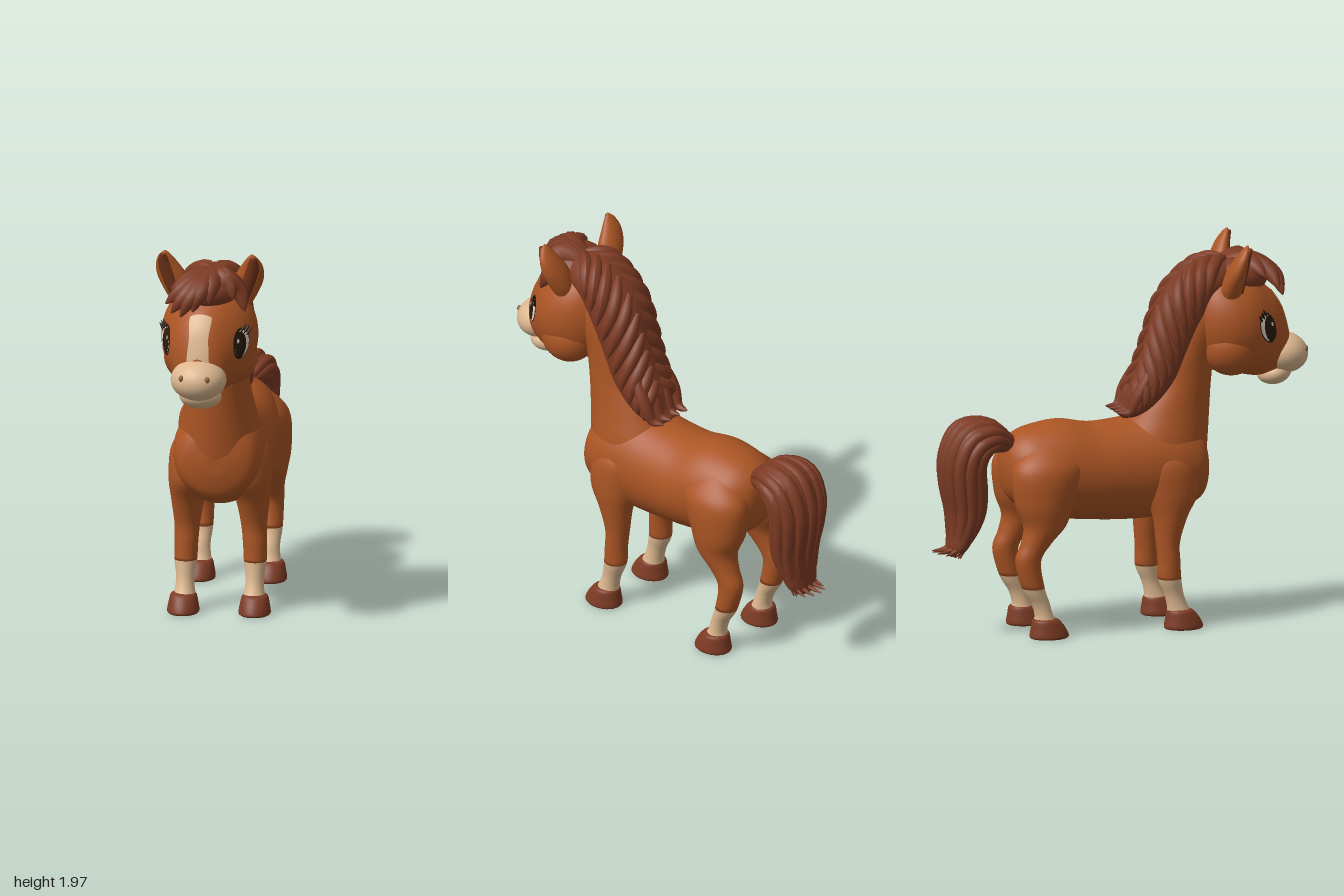
import * as THREE from 'three';

const mat = (name, color, side = THREE.FrontSide) => {
  const m = new THREE.MeshStandardMaterial({ color, side });
  m.name = name;
  return m;
};
const COAT = mat('chestnut coat', 0xab5524);
const HAIR = mat('dark hair', 0x7d3b24);
const CREAM = mat('cream', 0xdcb78f, THREE.DoubleSide);
const INNER = mat('inner ear', 0x6f3218);
const DARK = mat('eye dark', 0x2a1a0c, THREE.DoubleSide);
const WHITE = mat('eye white', 0xeadfd2, THREE.DoubleSide);
const NOSTRIL = mat('nostril', 0x8f6546);

const HALF = Math.PI / 2;

function add(parent, name, geometry, material) {
  const mesh = new THREE.Mesh(geometry, material);
  mesh.name = name;
  parent.add(mesh);
  return mesh;
}

// A section row is [x, y, z, width radius, depth radius, tilt]; rows are joined by a smooth spline.
function at(rows, t) {
  const n = rows.length - 1;
  t = Math.min(Math.max(t, 0), n);
  const i = Math.min(Math.floor(t), n - 1), f = t - i;
  const [a, b, c, d] = [-1, 0, 1, 2].map(k => rows[Math.min(Math.max(i + k, 0), n)]);
  return b.map((_, k) => 0.5 * (2 * b[k] + (c[k] - a[k]) * f + (2 * a[k] - 5 * b[k] + 4 * c[k] - d[k]) * f * f
    + (3 * b[k] - a[k] - 3 * c[k] + d[k]) * f * f * f));
}

// Point on the lofted skin; angle 0 lies on the depth axis
function skin(rows, t, a, lift = 0) {
  const [x, y, z, rx, rd, tilt] = at(rows, t);
  const w = (Math.max(rx, 0.002) + lift) * Math.sin(a), d = (Math.max(rd, 0.002) + lift) * Math.cos(a);
  return new THREE.Vector3(x + w, y + d * Math.cos(tilt), z + d * Math.sin(tilt));
}

function makeGeometry(points, index) {
  const g = new THREE.BufferGeometry().setFromPoints(points);
  g.setIndex(index);
  g.computeVertexNormals();
  return g;
}

function loft(rows, { from = 0, to = rows.length - 1, sides = 40, caps = true } = {}) {
  const steps = Math.max(2, Math.ceil((to - from) * 6));
  const pts = [], idx = [];
  for (let i = 0; i <= steps; i++)
    for (let j = 0; j < sides; j++) pts.push(skin(rows, from + (to - from) * i / steps, j / sides * Math.PI * 2));
  const first = at(rows, from), last = at(rows, to), mid = at(rows, (from + to) / 2);
  const flip = (last[1] - first[1]) * Math.sin(mid[5]) - (last[2] - first[2]) * Math.cos(mid[5]) < 0;
  const tri = (a, b, c) => flip ? idx.push(a, c, b) : idx.push(a, b, c);
  for (let i = 0; i < steps; i++)
    for (let j = 0; j < sides; j++) {
      const k = (j + 1) % sides, p = i * sides, q = p + sides;
      tri(p + j, p + k, q + k);
      tri(p + j, q + k, q + j);
    }
  if (caps) {
    const c = pts.length, e = steps * sides;
    pts.push(new THREE.Vector3(...first.slice(0, 3)), new THREE.Vector3(...last.slice(0, 3)));
    for (let j = 0; j < sides; j++) {
      const k = (j + 1) % sides;
      tri(c, k, j);
      tri(c + 1, e + j, e + k);
    }
  }
  return makeGeometry(pts, idx);
}

// Thin painted patch lying just above a lofted skin; fn(u, v) gives [t, angle]
function patch(rows, lift, fn, n = 28) {
  const pts = [], idx = [];
  for (let i = 0; i <= n; i++)
    for (let j = 0; j <= n; j++) pts.push(skin(rows, ...fn(i / n, j / n), lift));
  for (let i = 0; i < n; i++)
    for (let j = 0; j < n; j++) {
      const p = i * (n + 1) + j, q = p + n + 1;
      idx.push(p, p + 1, q + 1, p, q + 1, q);
    }
  return makeGeometry(pts, idx);
}

// Tapered lock of hair along a curve
function lock(points, radius) {
  const curve = new THREE.CatmullRomCurve3(points.map(p => p.isVector3 ? p : new THREE.Vector3(...p)));
  const seg = 24, sides = 10;
  const g = new THREE.TubeGeometry(curve, seg, radius, sides);
  const pos = g.attributes.position, v = new THREE.Vector3();
  for (let i = 0; i <= seg; i++) {
    const c = curve.getPointAt(i / seg);
    const s = Math.pow(Math.sin(Math.PI * (0.14 + 0.855 * i / seg)), 0.7);
    for (let j = 0; j <= sides; j++) {
      const k = i * (sides + 1) + j;
      v.fromBufferAttribute(pos, k).sub(c).multiplyScalar(s).add(c);
      pos.setXYZ(k, v.x, v.y, v.z);
    }
  }
  g.computeVertexNormals();
  return g;
}

function ellipsoid(parent, name, material, [x, y, z], [a, b, c], tilt = 0) {
  const m = add(parent, name, new THREE.SphereGeometry(1, 36, 24), material);
  m.position.set(x, y, z);
  m.scale.set(a, b, c);
  m.rotation.x = tilt;
}

// Rows running along z or along y
const alongZ = rows => rows.map(([z, y, rx, ry]) => [0, y, z, rx, ry, 0]);
const alongY = (rows, s = 1) => rows.map(([y, z, rz, x, rx]) => [s * x, y, z, rx, rz, HALF]);
const crest = rows => rows.map(r => [0, ...r]);

const TRUNK = alongZ([[-0.628, 0.86, 0.02, 0.03], [-0.605, 0.855, 0.12, 0.13], [-0.53, 0.845, 0.2, 0.2],
  [-0.42, 0.835, 0.235, 0.24], [-0.3, 0.83, 0.245, 0.255], [-0.15, 0.81, 0.245, 0.25], [0, 0.81, 0.24, 0.26],
  [0.15, 0.82, 0.24, 0.27], [0.28, 0.83, 0.235, 0.26], [0.38, 0.825, 0.21, 0.215], [0.43, 0.815, 0.165, 0.165],
  [0.455, 0.81, 0.07, 0.07], [0.458, 0.81, 0.01, 0.01]]);
const NECK = alongY([[0.7, 0.26, 0.16, 0, 0.19], [0.82, 0.25, 0.205, 0, 0.22], [0.96, 0.23, 0.24, 0, 0.208],
  [1.1, 0.27, 0.21, 0, 0.178], [1.25, 0.325, 0.165, 0, 0.158], [1.4, 0.36, 0.15, 0, 0.155],
  [1.55, 0.42, 0.15, 0, 0.16], [1.7, 0.5, 0.13, 0, 0.15]]);
const FRONT_LEG = [[0.95, 0.21, 0.07, 0.13, 0.05], [0.85, 0.22, 0.14, 0.145, 0.105], [0.7, 0.235, 0.14, 0.15, 0.112],
  [0.58, 0.222, 0.09, 0.165, 0.086], [0.45, 0.208, 0.062, 0.17, 0.066], [0.35, 0.212, 0.058, 0.175, 0.061],
  [0.26, 0.215, 0.06, 0.177, 0.058], [0.18, 0.237, 0.05, 0.177, 0.047], [0.12, 0.255, 0.053, 0.177, 0.05],
  [0.07, 0.27, 0.066, 0.177, 0.06]];
const HIND_LEG = [[1.0, -0.4, 0.08, 0.12, 0.05], [0.88, -0.42, 0.19, 0.15, 0.125], [0.7, -0.45, 0.155, 0.16, 0.125],
  [0.58, -0.452, 0.112, 0.172, 0.094], [0.49, -0.5, 0.08, 0.175, 0.07], [0.4, -0.543, 0.067, 0.177, 0.06],
  [0.26, -0.515, 0.058, 0.177, 0.056], [0.18, -0.478, 0.048, 0.177, 0.047], [0.12, -0.46, 0.047, 0.177, 0.05],
  [0.07, -0.45, 0.064, 0.177, 0.06]];
const HEAD = alongZ([[0.37, 1.57, 0.03, 0.03], [0.4, 1.56, 0.13, 0.16], [0.47, 1.55, 0.205, 0.245],
  [0.56, 1.54, 0.243, 0.27], [0.64, 1.53, 0.243, 0.268], [0.71, 1.51, 0.22, 0.26], [0.77, 1.485, 0.185, 0.235],
  [0.82, 1.46, 0.15, 0.21], [0.865, 1.43, 0.11, 0.165], [0.895, 1.4, 0.06, 0.09], [0.905, 1.39, 0.02, 0.03]]);
const MANE = crest([[1.76, 0.6, 0.12, 0.1, 0.1], [1.76, 0.5, 0.15, 0.12, -0.2], [1.71, 0.42, 0.16, 0.13, -0.6],
  [1.6, 0.34, 0.165, 0.14, -1], [1.45, 0.275, 0.16, 0.125, -1.2], [1.3, 0.21, 0.155, 0.11, -1.15],
  [1.18, 0.125, 0.145, 0.08, -1], [1.11, 0.06, 0.11, 0.04, -0.8], [1.085, 0.01, 0.05, 0.02, -0.7]]);
const TAIL = crest([[0.97, -0.56, 0.05, 0.04, 0.2], [1.0, -0.62, 0.1, 0.06, 0.2], [1.03, -0.7, 0.15, 0.085, 0],
  [1.0, -0.79, 0.17, 0.11, -0.6], [0.9, -0.835, 0.165, 0.105, -1.2], [0.78, -0.832, 0.155, 0.102, -HALF],
  [0.65, -0.822, 0.14, 0.09, -HALF], [0.54, -0.84, 0.12, 0.07, -HALF], [0.46, -0.865, 0.095, 0.05, -HALF],
  [0.42, -0.885, 0.05, 0.025, -HALF]]);

function makeLeg(parent, name, shape, s) {
  const leg = new THREE.Group();
  leg.name = name;
  parent.add(leg);
  const rows = alongY(shape, s), z = shape[9][1], x = 0.182;
  add(leg, 'upperLeg', loft(rows, { from: 0, to: 6, sides: 32 }), COAT);
  add(leg, 'sock', loft(rows, { from: 6, to: 9, sides: 32, caps: false }), CREAM);
  add(leg, 'hoof', loft(alongY([[0.1, z - 0.005, 0.05, x, 0.05], [0.09, z, 0.07, x, 0.066], [0.05, z + 0.012, 0.09, x, 0.076],
    [0.012, z + 0.018, 0.102, x, 0.082], [0, z + 0.018, 0.095, x, 0.076]], s), { sides: 32 }), HAIR);
}

function makeHead() {
  const head = new THREE.Group();
  head.name = 'head';
  add(head, 'skull', loft(HEAD, { sides: 56 }), COAT);
  ellipsoid(head, 'muzzle', CREAM, [0, 1.36, 0.87], [0.142, 0.105, 0.13], 0.15);
  ellipsoid(head, 'chin', CREAM, [0, 1.262, 0.825], [0.108, 0.064, 0.088], -0.2);

  // Pale blaze widening towards the muzzle
  const blaze = [0.36, 0.4, 0.42, 0.46, 0.62, 0.95, 1.5].map(w => [w]);
  add(head, 'blaze', patch(HEAD, 0.006, (u, v) => [6.85 + 2.45 * u, at(blaze, 6 * u)[0] * (2 * v - 1)]), CREAM);

  for (const s of [-1, 1]) {
    ellipsoid(head, 'cheek', COAT, [s * 0.105, 1.42, 0.58], [0.135, 0.145, 0.15]);
    ellipsoid(head, 'nostril', NOSTRIL, [s * 0.067, 1.385, 0.976], [0.013, 0.017, 0.012]);

    // Layered eye
    const disc = (t, a, rt, ra, lift) => patch(HEAD, lift, (u, v) =>
      [t + rt * u * Math.cos(v * 2 * Math.PI), s * (a + ra * u * Math.sin(v * 2 * Math.PI))], 24);
    add(head, 'eyeRim', disc(5.72, 1.42, 0.86, 0.31, 0.003), DARK);
    add(head, 'eyeWhite', disc(5.7, 1.43, 0.76, 0.27, 0.005), WHITE);
    add(head, 'iris', disc(5.88, 1.42, 0.6, 0.27, 0.007), DARK);
    add(head, 'eyeGlint', disc(6.08, 1.31, 0.12, 0.045, 0.009), WHITE);
    for (let k = 0; k < 3; k++) {
      const t = 5.35 - 0.2 * k, a = 1.17 + 0.07 * k;
      add(head, 'eyelash', lock([skin(HEAD, t + 0.15, s * (a + 0.04)), skin(HEAD, t, s * a, 0.01),
        skin(HEAD, t - 0.2, s * (a - 0.05), 0.025)], 0.006), DARK);
    }

    // Ear with a darker hollow
    const ear = (w, d, dz) => [[0.15, 1.68, 0.565, 0.05, 0.05], [0.17, 1.74, 0.57, 0.066, 0.056], [0.195, 1.82, 0.585, 0.078, 0.05],
      [0.218, 1.89, 0.605, 0.06, 0.036], [0.226, 1.94, 0.625, 0.032, 0.02], [0.224, 1.966, 0.635, 0.005, 0.005]]
      .map(([x, y, z, a, b]) => [s * (x + (w < 1 ? 0.008 : 0)), y, z + dz, a * w, b * d, HALF]);
    add(head, 'ear', loft(ear(1, 1, 0)), COAT);
    add(head, 'innerEar', loft(ear(0.62, 0.8, 0.016), { from: 0.6, to: 4.3 }), INNER);
  }

  // Forelock swept to one side
  ellipsoid(head, 'forelockCap', HAIR, [0, 1.77, 0.63], [0.155, 0.105, 0.16]);
  const tips = [[-0.17, 1.79, 0.74], [-0.185, 1.73, 0.81], [-0.15, 1.69, 0.84], [-0.1, 1.675, 0.85],
    [-0.04, 1.7, 0.84], [0.04, 1.74, 0.8], [0.15, 1.75, 0.73], [0.2, 1.68, 0.69]];
  tips.forEach(([x, y, z], i) => {
    const mx = i < 6 ? 0.05 - i * 0.004 + x * 0.35 : x * 0.65;
    add(head, 'forelockLock', lock([[0.02 + x * 0.1, 1.83, 0.54], [mx * 0.7, 1.845, 0.66], [(mx + x) / 2, (y + 1.85) / 2 + 0.01, z - 0.035],
      [x, y, z]], 0.055), HAIR);
  });

  // Slight turn about the neck
  const yaw = -0.1, pivot = 0.5;
  head.rotation.y = yaw;
  head.position.set(-pivot * Math.sin(yaw), 0, pivot * (1 - Math.cos(yaw)));
  return head;
}

export function createModel() {
  const model = new THREE.Group();
  model.name = 'pony';
  add(model, 'trunk', loft(TRUNK, { sides: 56 }), COAT);
  add(model, 'neck', loft(NECK, { sides: 48 }), COAT);
  for (const [side, s] of [['left', 1], ['right', -1]]) {
    makeLeg(model, side + 'FrontLeg', FRONT_LEG, s);
    makeLeg(model, side + 'HindLeg', HIND_LEG, s);
  }
  model.add(makeHead());

  // Mane: core with overlapping locks falling to both sides
  add(model, 'mane', loft(MANE), HAIR);
  for (const s of [-1, 1])
    for (let i = 0; i < 10; i++) {
      const t0 = 0.4 + i * 0.56;
      const path = [0, 0.25, 0.5, 0.75, 1].map(u => skin(MANE, t0 + 1.6 * u, s * (0.05 + 1.75 * u), -0.012 + 0.008 * u));
      add(model, 'maneLock', lock(path, 0.036), HAIR);
    }
  for (const x of [-0.1, -0.035, 0.04, 0.105])
    add(model, 'maneTip', lock([[x, 1.34, 0.15], [x * 1.1, 1.2, 0.075], [x, 1.115, 0.03], [x * 0.9, 1.115, -0.035]], 0.035), HAIR);

  // Tail: core with long locks ending in flicked tips
  add(model, 'tail', loft(TAIL), HAIR);
  for (let i = 0; i < 12; i++) {
    const a = i / 12 * Math.PI * 2;
    const path = [0.9, 2, 3, 4, 5, 6, 7, 8].map(t => skin(TAIL, t, a, -0.018));
    const back = Math.cos(a);
    path.push(new THREE.Vector3(0.085 * Math.sin(a), 0.425 + 0.02 * back, -0.9 - 0.095 * Math.max(back, -0.3)));
    add(model, 'tailLock', lock(path, 0.036), HAIR);
  }

  model.rotation.y = 0.035;
  return model;
}
